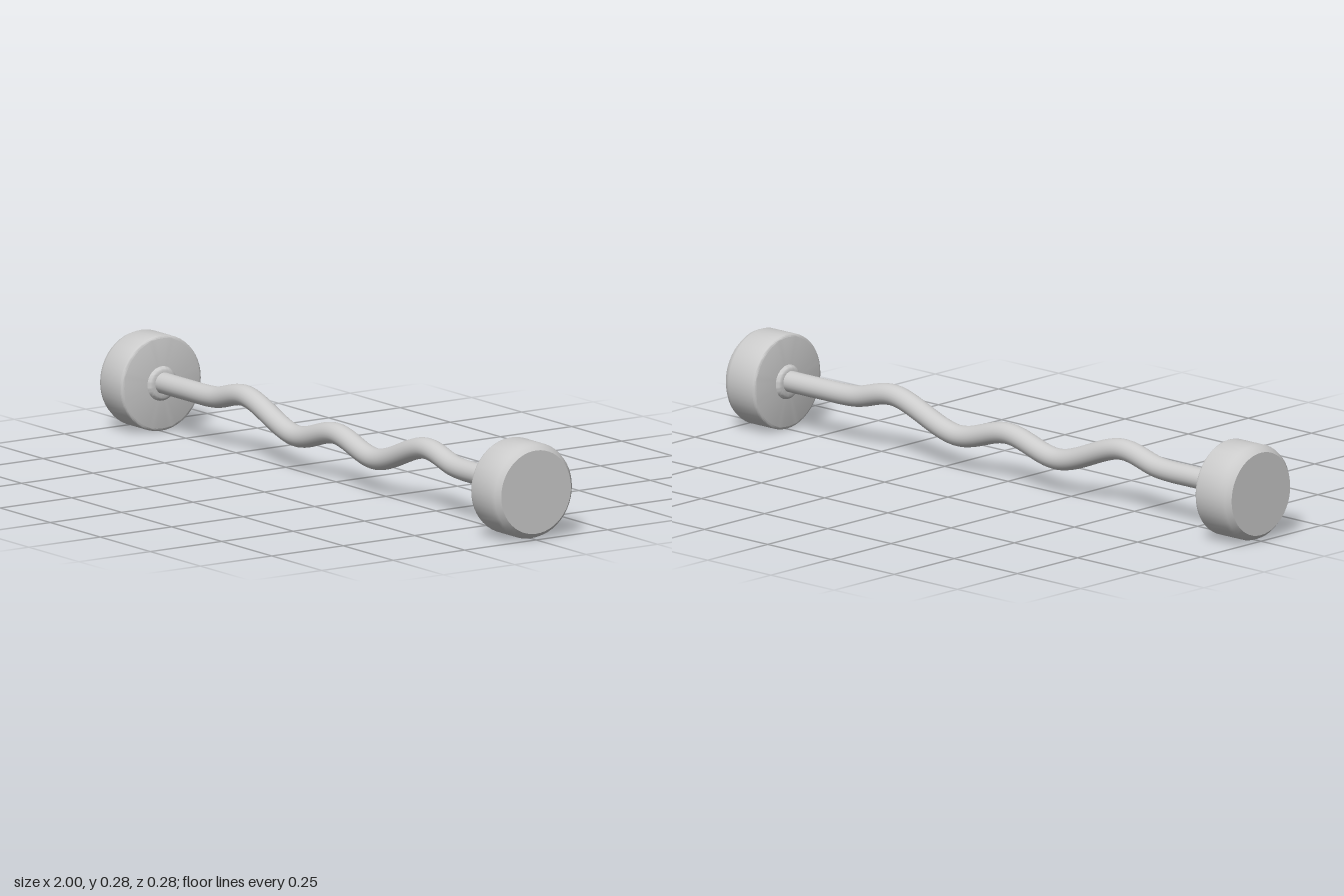
import * as THREE from 'three';
import { toCreasedNormals } from 'three/addons/utils/BufferGeometryUtils.js';

const CENTER_Y = 0.141;

// Turned part: profile points are [radius, distance along the bar]
function turned(profile, material, name) {
  const points = profile.map(([r, d]) => new THREE.Vector2(r, d));
  const geometry = toCreasedNormals(new THREE.LatheGeometry(points, 48), 0.66);
  const mesh = new THREE.Mesh(geometry, material);
  mesh.name = name;
  return mesh;
}

export function createModel() {
  const model = new THREE.Group();
  model.name = 'curlBarbell';
  const material = new THREE.MeshStandardMaterial({ color: 0xcccccc });

  // Bent bar: heights for one half, mirrored to the other
  const half = [[0.2, 0.102], [0.45, 0.176], [0.6, 0.147], [0.74, 0.144], [0.88, 0.144]];
  const mirrored = half.map(([x, y]) => [-x, y]).reverse();
  const path = new THREE.CatmullRomCurve3(
    [...mirrored, [0, 0.143], ...half].map(([x, y]) => new THREE.Vector3(x, y, 0))
  );
  const bar = new THREE.Mesh(new THREE.TubeGeometry(path, 120, 0.031, 24), material);
  bar.name = 'bar';
  model.add(bar);

  for (const side of [1, -1]) {
    const end = new THREE.Group();
    end.name = side > 0 ? 'leftEnd' : 'rightEnd';

    // Weight: softened inner rim, wide outer bevel, flat cap
    end.add(turned([
      [0, 0.87], [0.132, 0.87], [0.136, 0.871], [0.139, 0.874], [0.14, 0.878],
      [0.14, 0.972], [0.135, 0.986], [0.122, 1], [0, 1],
    ], material, 'weight'));

    // Collar where the bar enters the weight
    end.add(turned([
      [0.029, 0.859], [0.04, 0.859], [0.045, 0.862], [0.05, 0.868], [0.051, 0.872],
    ], material, 'collar'));

    end.rotation.z = -side * Math.PI / 2;
    end.position.y = CENTER_Y;
    model.add(end);
  }
  return model;
}
